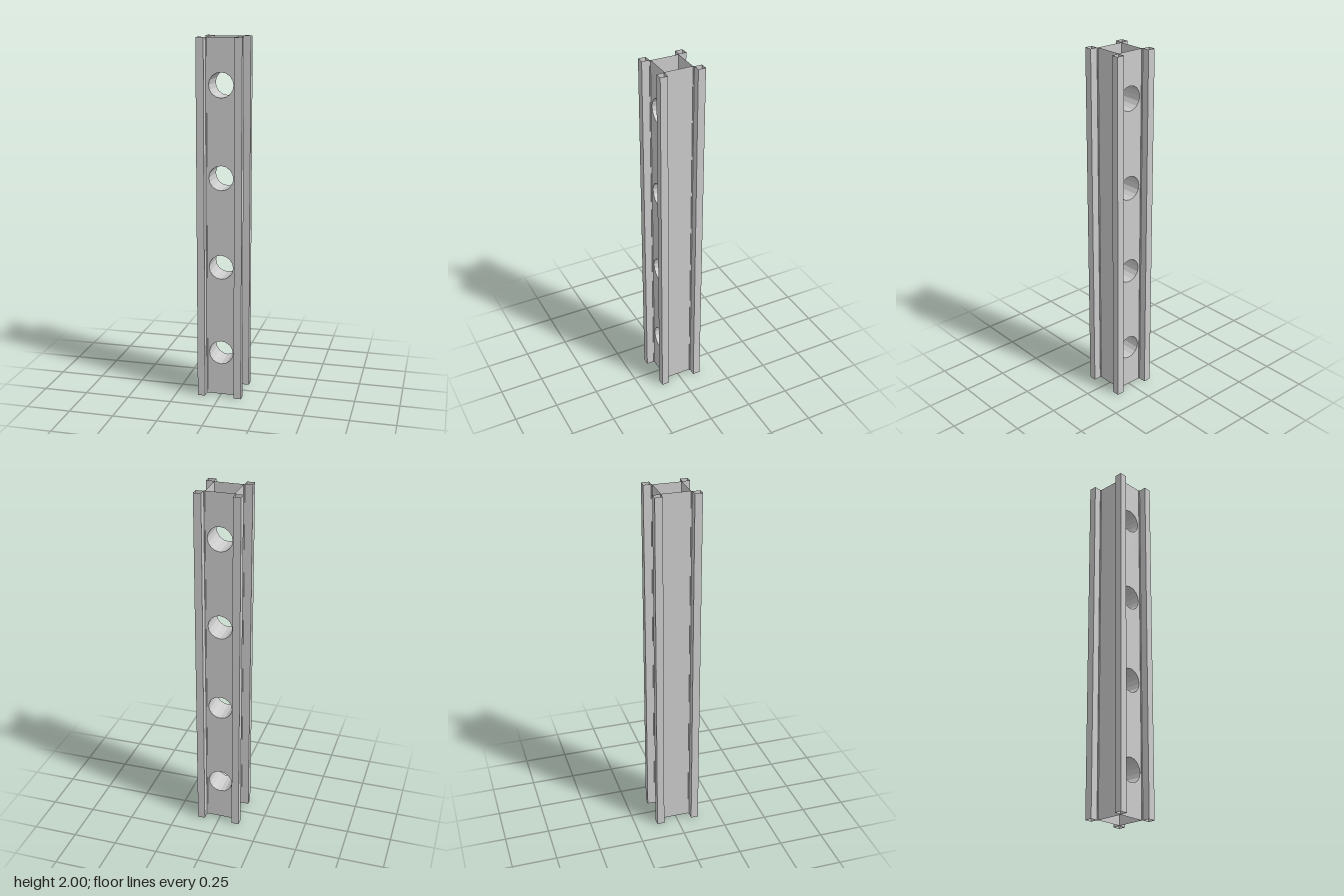
import * as THREE from 'three';

const H = 2;          // height
const OUT = 0.125;    // outer face of the corner posts
const IN = 0.083;     // inner edge of the corner posts
const WALL = 0.078;   // recessed walls
const R = 0.068;      // hole radius
const SIDES = 16;
const HOLES = [0.25, 0.75, 1.25, 1.75];

const material = new THREE.MeshStandardMaterial({
  color: 0xcccccc, flatShading: true, side: THREE.DoubleSide,
});

function add(parent, name, geometry) {
  const mesh = new THREE.Mesh(geometry, material);
  mesh.name = name;
  parent.add(mesh);
  return mesh;
}

// Upright sheet between two plan points [x, z], facing right of its direction
function sheet(parent, name, [x0, z0], [x1, z1]) {
  const dx = x1 - x0, dz = z1 - z0;
  const mesh = add(parent, name, new THREE.PlaneGeometry(Math.hypot(dx, dz), H));
  mesh.position.set((x0 + x1) / 2, H / 2, (z0 + z1) / 2);
  mesh.rotation.y = Math.atan2(-dz, dx);
}

// Recessed wall with a row of round holes
function piercedWall() {
  const shape = new THREE.Shape([
    new THREE.Vector2(-IN, 0), new THREE.Vector2(IN, 0),
    new THREE.Vector2(IN, H), new THREE.Vector2(-IN, H),
  ]);
  for (const y of HOLES) {
    const points = [];
    for (let i = 0; i < SIDES; i++) {
      const a = -i / SIDES * Math.PI * 2;
      points.push(new THREE.Vector2(R * Math.cos(a), y + R * Math.sin(a)));
    }
    shape.holes.push(new THREE.Path(points));
  }
  return new THREE.ShapeGeometry(shape);
}

export function createModel() {
  const model = new THREE.Group();
  model.name = 'channelBeam';

  // Front and back walls with holes
  add(model, 'frontWall', piercedWall()).position.z = WALL;
  const back = add(model, 'backWall', piercedWall());
  back.position.z = -WALL;
  back.rotation.y = Math.PI;

  // Plain side walls
  sheet(model, 'leftWall', [WALL, IN], [WALL, -IN]);
  sheet(model, 'rightWall', [-WALL, -IN], [-WALL, IN]);

  // Hollow corner posts, open at both ends
  for (let i = 0; i < 4; i++) {
    const post = new THREE.Group();
    post.name = 'cornerPost';
    post.rotation.y = i * Math.PI / 2;
    const path = [[IN, WALL], [IN, OUT], [OUT, OUT], [OUT, IN], [WALL, IN]];
    for (let k = 0; k < 4; k++) sheet(post, 'postFace', path[k], path[k + 1]);
    model.add(post);
  }

  // Tubes lining the holes from front to back
  for (const y of HOLES) {
    const tube = add(model, 'holeTube',
      new THREE.CylinderGeometry(R, R, 2 * WALL, SIDES, 1, true)
        .rotateY(Math.PI / 2).rotateX(Math.PI / 2));
    tube.position.y = y;
  }
  return model;
}
